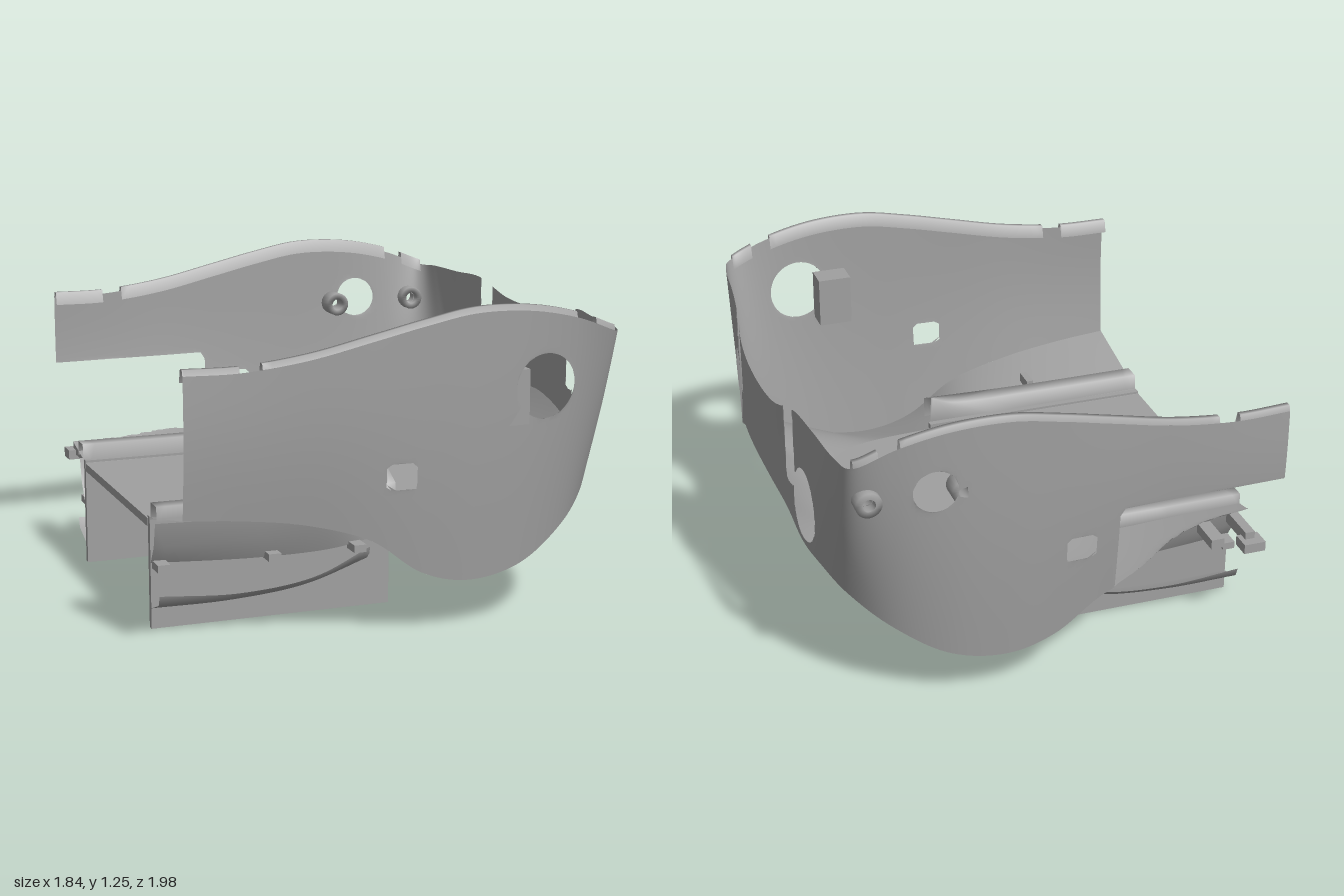
import * as THREE from 'three';

const grey = new THREE.MeshStandardMaterial({ color: 0xa0a0a0, side: THREE.DoubleSide });
grey.name = 'casing grey';
const V = (x, y, z) => new THREE.Vector3(x, y, z);
const clamp = THREE.MathUtils.clamp;

// Stations from the open end round to the middle of the end wall:
// rim x y z, lower edge x y z, floor border x z
const stations = [
  [-0.92, 1.07, 0.955, -0.92, 0.54, 0.93, -0.92, 0.47],
  [-0.7, 1.07, 0.965, -0.7, 0.52, 0.93, -0.7, 0.47],
  [-0.45, 1.1, 0.975, -0.45, 0.48, 0.93, -0.45, 0.47],
  [-0.2, 1.155, 0.983, -0.2, 0.4, 0.94, -0.2, 0.47],
  [0, 1.2, 0.988, 0, 0.26, 0.94, 0, 0.46],
  [0.2, 1.235, 0.99, 0.2, 0.21, 0.94, 0.14, 0.45],
  [0.42, 1.23, 0.985, 0.42, 0.25, 0.92, 0.27, 0.44],
  [0.62, 1.19, 0.975, 0.62, 0.37, 0.86, 0.38, 0.42],
  [0.78, 1.13, 0.955, 0.76, 0.48, 0.75, 0.47, 0.38],
  [0.825, 1.13, 0.85, 0.83, 0.55, 0.62, 0.52, 0.33],
  [0.845, 1.13, 0.65, 0.865, 0.59, 0.5, 0.55, 0.27],
  [0.87, 1.13, 0.46, 0.885, 0.66, 0.35, 0.57, 0.18],
  [0.9, 1.07, 0.25, 0.905, 0.7, 0.18, 0.58, 0.09],
  [0.912, 1.06, 0, 0.915, 0.72, 0, 0.58, 0],
];
const LAST = stations.length - 1;
function rail(pick) {
  const half = stations.map(pick);
  const other = half.slice(0, -1).reverse().map(p => V(p.x, p.y, -p.z));
  return new THREE.CatmullRomCurve3([...half, ...other], false, 'catmullrom', 0.5);
}
const rim = rail(s => V(s[0], s[1], s[2]));
const edge = rail(s => V(s[3], s[4], s[5]));
const border = rail(s => V(s[6], 0.44, s[7]));

// Grid surface; cut(p) returns true inside an opening and moves p to its border
function sheet(name, nu, nv, f, cut = () => false) {
  const pos = [], inside = [], index = [];
  for (let i = 0; i <= nu; i++) for (let j = 0; j <= nv; j++) {
    const p = f(i / nu, j / nv);
    inside.push(cut(p));
    pos.push(p.x, p.y, p.z);
  }
  for (let i = 0; i < nu; i++) for (let j = 0; j < nv; j++) {
    const a = i * (nv + 1) + j, b = a + 1, c = a + nv + 1, d = c + 1;
    if (inside[a] && inside[b] && inside[c] && inside[d]) continue;
    index.push(a, b, c, b, d, c);
  }
  const g = new THREE.BufferGeometry();
  g.setAttribute('position', new THREE.Float32BufferAttribute(pos, 3));
  g.setIndex(index);
  g.computeVertexNormals();
  const m = new THREE.Mesh(g, grey);
  m.name = name;
  return m;
}

// Elliptic opening in the plane of axis a and y
function oval(p, a, ca, cy, ra, ry) {
  const da = p[a] - ca, dy = p.y - cy, r = Math.hypot(da / ra, dy / ry);
  if (r >= 1) return false;
  const k = 1 / Math.max(r, 0.01);
  p[a] = ca + da * k;
  p.y = cy + dy * k;
  return true;
}
// Rectangular opening, moved to the nearest side
function rect(p, a, a0, a1, y0, y1) {
  if (p[a] <= a0 || p[a] >= a1 || p.y <= y0 || p.y >= y1) return false;
  const d = [p[a] - a0, a1 - p[a], p.y - y0, y1 - p.y];
  const n = d.indexOf(Math.min(...d));
  if (n < 2) p[a] = n ? a1 : a0; else p.y = n === 3 ? y1 : y0;
  return true;
}
function wallCut(p) {
  if (Math.abs(p.z) > 0.8 && p.x < 0.79) {
    if (rect(p, 'x', -0.15, -0.03, 0.59, 0.69)) return true;
    if (p.z > 0) return oval(p, 'x', 0.49, 0.94, 0.125, 0.125);
    return rect(p, 'x', -2, -0.24, -1, 0.78) || oval(p, 'x', 0.48, 0.99, 0.085, 0.085)
      || oval(p, 'x', 0.73, 0.98, 0.025, 0.025) || oval(p, 'x', 0.37, 0.97, 0.025, 0.025);
  }
  const s = Math.sign(p.z) || 1;
  p.z *= s;
  const hit = oval(p, 'z', 0.53, 0.76, 0.1, 0.155) || rect(p, 'z', 0.36, 0.45, 0.79, 3);
  p.z *= s;
  return hit;
}
// Trimmed corner of the underside
const trim = new THREE.CatmullRomCurve3([V(-0.92, 0, 0.67), V(-0.72, 0, 0.7), V(-0.5, 0, 0.8), V(-0.35, 0, 0.9), V(-0.24, 0, 0.93)]).getPoints(40);
function underCut(p) {
  if (p.z > 0 || p.x > -0.24) return false;
  const q = trim.find(t => t.x >= p.x) || trim[40];
  if (-p.z <= q.z) return false;
  p.z = -q.z;
  return true;
}

function box(name, x0, x1, y0, y1, z0, z1) {
  const m = new THREE.Mesh(new THREE.BoxGeometry(x1 - x0, y1 - y0, z1 - z0), grey);
  m.position.set((x0 + x1) / 2, (y0 + y1) / 2, (z0 + z1) / 2);
  m.name = name;
  return m;
}

// Strip swept along x; rows are lists of [x, y, z] lines
function strip(name, side, rows) {
  const lines = rows.map(r => new THREE.CatmullRomCurve3(r.map(p => V(p[0], p[1], p[2] * side))));
  return sheet(name, 30, rows.length - 1, (u, v) => lines[Math.round(v * (rows.length - 1))].getPoint(u));
}

export function createModel() {
  const model = new THREE.Group();

  // Side and end walls
  model.add(sheet('wall', LAST * 24, 44, (u, v) => {
    const p = rim.getPoint(u).lerp(edge.getPoint(u), v);
    p.z += Math.sign(p.z) * 0.012 * Math.sin(Math.PI * v) * clamp(Math.abs(p.z) * 3 - 1.5, 0, 1);
    return p;
  }, wallCut));

  // Curved underside with its two lobes, and the flat floor
  model.add(sheet('underside', LAST * 16, 28, (u, v) => {
    const a = edge.getPoint(u), b = border.getPoint(u);
    const k = 0.9 * THREE.MathUtils.smoothstep(a.x, 0.4, 0.9);
    const p = a.clone().lerp(b, v);
    p.y = a.y + (b.y - a.y) * (v + k * v * (1 - v));
    return p;
  }, underCut));
  model.add(sheet('floor', 60, 4, (u, v) => {
    const p = border.getPoint(u / 2);
    p.z *= 1 - 2 * v;
    return p;
  }));
  model.add(box('floorPanel', -0.92, 0.04, 0.405, 0.438, -0.465, 0.465));

  // Rim lip in sections
  const lip = [[0, 0], [0.022, -0.008], [0.022, -0.03], [-0.03, -0.045]];
  for (const side of [1, -1]) {
    for (const [a, b] of [[0, 0.95], [1.3, 6.95], [7.4, 8]]) {
      model.add(sheet('rimLip', 40, 3, (u, v) => {
        const p = rim.getPoint((a + (b - a) * u) / (2 * LAST)), l = lip[Math.round(v * 3)];
        return V(p.x, p.y + l[0], (p.z + l[1]) * side);
      }));
    }

    // Hanging plate with flared strips, and the rib over the floor
    const z0 = 0.485 * side;
    model.add(box('sidePlate', -0.92, 0.05, 0.01, 0.45, z0 - 0.013, z0 + 0.013));
    model.add(strip('lowerFlange', side, [
      [[-0.92, 0.09, 0.495], [-0.6, 0.09, 0.495], [-0.3, 0.12, 0.495], [-0.04, 0.2, 0.495]],
      [[-0.92, 0.13, 0.6], [-0.6, 0.13, 0.6], [-0.3, 0.16, 0.59], [-0.04, 0.225, 0.52]],
      [[-0.92, 0.17, 0.615], [-0.6, 0.15, 0.615], [-0.3, 0.18, 0.605], [-0.04, 0.255, 0.53]],
    ]));
    model.add(strip('upperFlange', side, [
      [[-0.92, 0.27, 0.5], [-0.5, 0.255, 0.52], [-0.2, 0.26, 0.52], [-0.03, 0.28, 0.5]],
      [[-0.92, 0.34, 0.545], [-0.5, 0.34, 0.56], [-0.2, 0.34, 0.55], [-0.03, 0.31, 0.5]],
      [[-0.92, 0.44, 0.57], [-0.5, 0.43, 0.58], [-0.2, 0.42, 0.57], [-0.03, 0.38, 0.5]],
    ]));
    model.add(strip('floorRib', side, [
      [[-0.92, 0.44, 0.505], [-0.4, 0.44, 0.505], [0.04, 0.44, 0.505]],
      [[-0.92, 0.51, 0.515], [-0.4, 0.51, 0.515], [-0.06, 0.52, 0.515], [0.04, 0.57, 0.49]],
      [[-0.92, 0.51, 0.59], [-0.4, 0.51, 0.59], [0.04, 0.52, 0.59]],
      [[-0.92, 0.45, 0.59], [-0.4, 0.45, 0.59], [0.04, 0.43, 0.59]],
    ]));
    for (const x of [-0.89, -0.45, -0.1]) {
      const z = 0.54 * side;
      model.add(box('tab', x - 0.025, x + 0.025, 0.25, 0.28, z - 0.04, z + 0.04));
    }
    model.add(box('ribStop', -0.13, -0.06, 0.43, 0.5, 0.603 * side - 0.018, 0.603 * side + 0.018));
  }

  // Block behind the round opening
  model.add(box('innerBlock', 0.28, 0.42, 0.8, 1.01, 0.87, 0.975));

  // Hollow bosses beside the far opening
  for (const [x, y] of [[0.73, 0.98], [0.37, 0.97]]) {
    const profile = [[0.025, 0], [0.05, 0], [0.05, 0.075], [0.025, 0.075], [0.025, 0]];
    const m = new THREE.Mesh(new THREE.LatheGeometry(profile.map(p => new THREE.Vector2(...p)), 24), grey);
    m.rotation.x = Math.PI / 2;
    m.position.set(x, y, -0.975);
    m.name = 'boss';
    model.add(m);
  }

  // Clips at the trimmed corner and on the floor
  model.add(box('clip', -0.92, -0.83, 0.39, 0.43, -0.84, -0.76));
  model.add(box('clipArm', -0.89, -0.85, 0.41, 0.46, -0.8, -0.62));
  model.add(box('clip', -0.755, -0.7, 0.42, 0.46, -0.81, -0.67));
  model.add(box('floorClip', -0.48, -0.45, 0.45, 0.5, 0.63, 0.72));
  return model;
}
